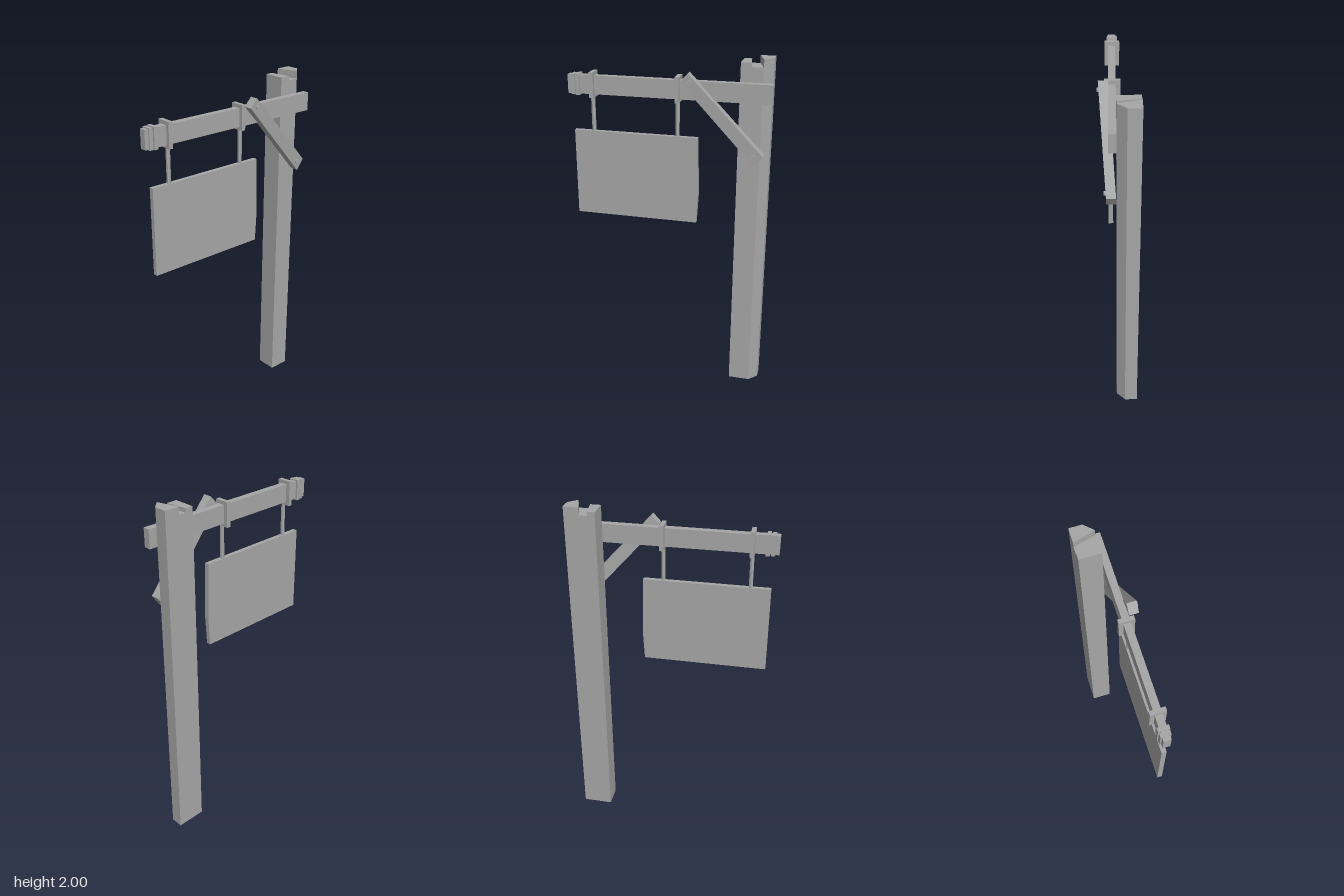
import * as THREE from 'three';

export function createModel() {
  const group = new THREE.Group();
  const grey = new THREE.MeshStandardMaterial({ color: 0xa6a6a6, flatShading: true });
  grey.name = 'plain grey';

  const add = (name, geometry) => {
    const mesh = new THREE.Mesh(geometry, grey);
    mesh.name = name;
    group.add(mesh);
    return mesh;
  };
  // box given by its limits on each axis
  const box = (name, x0, x1, y0, y1, z0, z1) =>
    add(name, new THREE.BoxGeometry(x1 - x0, y1 - y0, z1 - z0)
      .translate((x0 + x1) / 2, (y0 + y1) / 2, (z0 + z1) / 2));
  const extrude = (points, depth) => new THREE.ExtrudeGeometry(
    new THREE.Shape(points.map(([a, b]) => new THREE.Vector2(a, b))), { depth, bevelEnabled: false });
  // upright prism from a plan outline of [x, z] points
  const prism = (name, plan, y0, y1) =>
    add(name, extrude(plan.map(([x, z]) => [x, -z]), y1 - y0).rotateX(-Math.PI / 2).translate(0, y0, 0));

  // post with one chamfered corner and a slanted notch across its top
  prism('post', [[0.39, 0.015], [0.513, 0.015], [0.562, -0.035], [0.562, -0.107], [0.39, -0.107]], 0, 1.957);
  prism('postTopLow', [[0.39, 0.015], [0.45, 0.015], [0.432, -0.107], [0.39, -0.107]], 1.957, 1.98);
  prism('postTopHigh', [[0.513, 0.015], [0.562, -0.035], [0.562, -0.107], [0.477, -0.107]], 1.957, 2);

  // beam and the two bands at its free end
  box('beam', -0.575, 0.572, 1.77, 1.875, 0.015, 0.054);
  box('outerBand', -0.553, -0.531, 1.765, 1.88, 0.007, 0.061);
  box('innerBand', -0.525, -0.503, 1.763, 1.882, 0.004, 0.064);

  // straps round the beam, each with a hanging rod
  for (const x of [-0.432, 0.056]) {
    box('strap', x - 0.012, x + 0.012, 1.752, 1.895, -0.009, 0.075);
    add('rod', new THREE.CylinderGeometry(0.012, 0.012, 0.22, 6).translate(x, 1.66, 0.044));
  }

  // sign board with a slightly bowed edge
  add('signBoard', extrude([[-0.545, 1.055], [0.17, 1.055], [0.18, 1.23], [0.172, 1.56], [-0.545, 1.56]], 0.027)
    .translate(0, 0, 0.031));

  // diagonal brace, leaning from the post out to the front of the beam
  const lean = (x, y) => 0.055 - 0.039 * ((x - 0.102) * 0.675 - (y - 1.9) * 0.738) / 0.61;
  const brace = extrude([[0.08, 1.877], [0.495, 1.42], [0.538, 1.483], [0.124, 1.925]], 0.051);
  const pos = brace.attributes.position;
  for (let i = 0; i < pos.count; i++) {
    pos.setZ(i, pos.getZ(i) + lean(pos.getX(i), pos.getY(i)));
  }
  brace.computeVertexNormals();
  add('brace', brace);

  // bolts through the brace
  for (const [x, y] of [[0.13, 1.876], [0.482, 1.48]]) {
    add('bolt', new THREE.CylinderGeometry(0.013, 0.015, 0.03, 6).rotateX(Math.PI / 2)
      .translate(x, y, lean(x, y) + 0.045));
  }
  return group;
}
